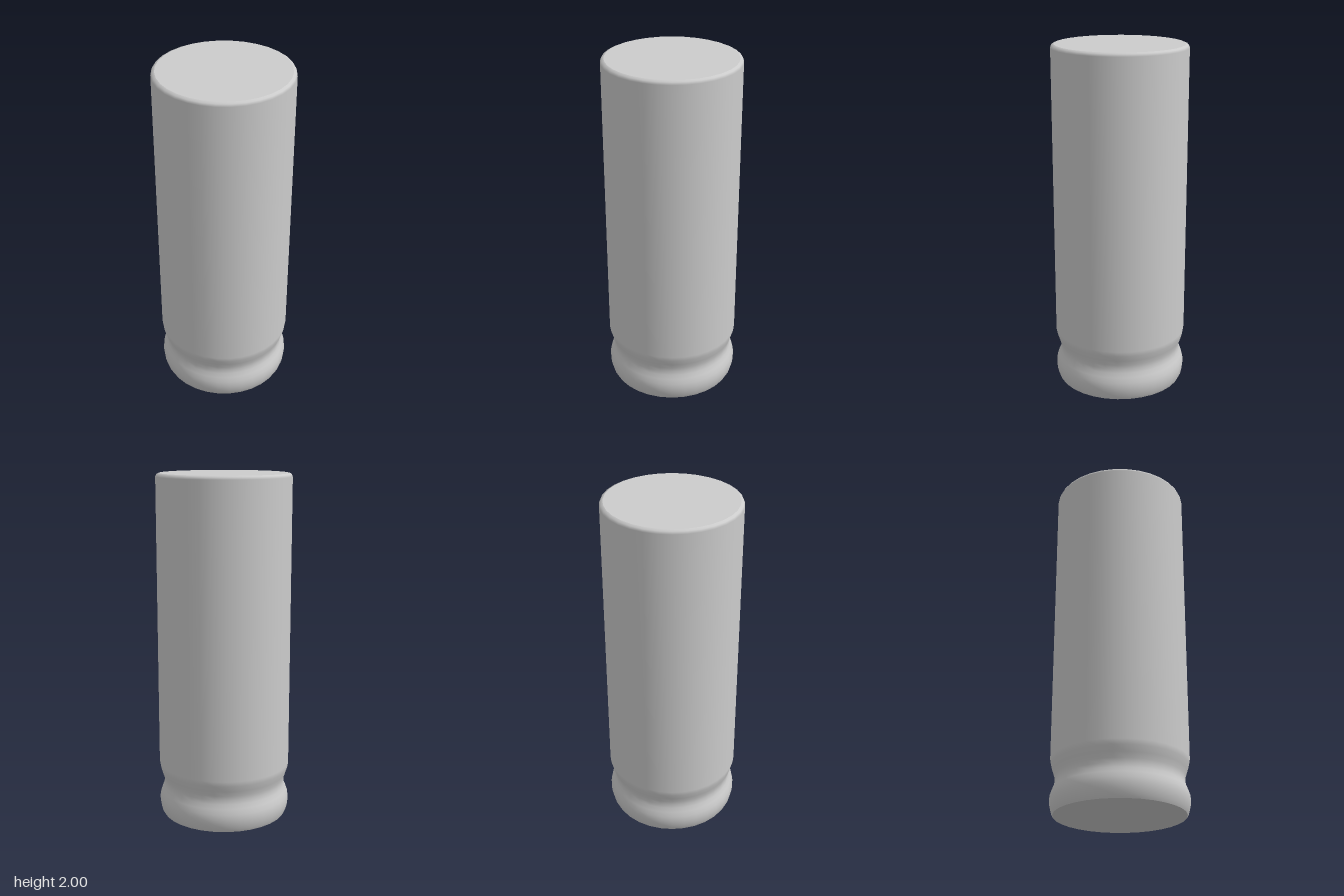
import * as THREE from 'three';

const SIDES = 32;

export function createModel() {
  const group = new THREE.Group();
  const material = new THREE.MeshStandardMaterial({ color: 0xcccccc });

  // Wall profile (radius, height): rounded base ring, groove, straight body, softened top edge
  const profile = [
    [0.365, 0], [0.375, 0.02], [0.382, 0.05], [0.385, 0.08], [0.381, 0.11], [0.371, 0.14],
    [0.36, 0.165], [0.357, 0.19], [0.359, 0.215], [0.369, 0.245], [0.38, 0.28], [0.385, 0.31],
    [0.385, 1.98], [0.379, 1.994], [0.365, 2],
  ].map(([r, y]) => new THREE.Vector2(r, y));
  const wall = new THREE.Mesh(new THREE.LatheGeometry(profile, SIDES), material);
  wall.name = 'cylinderWall';
  group.add(wall);

  // Flat end caps
  for (const [name, y, tilt] of [['topCap', 2, -1], ['bottomCap', 0, 1]]) {
    const cap = new THREE.Mesh(new THREE.CircleGeometry(0.365, SIDES), material);
    cap.name = name;
    cap.rotation.x = tilt * Math.PI / 2;
    cap.position.y = y;
    group.add(cap);
  }
  return group;
}
